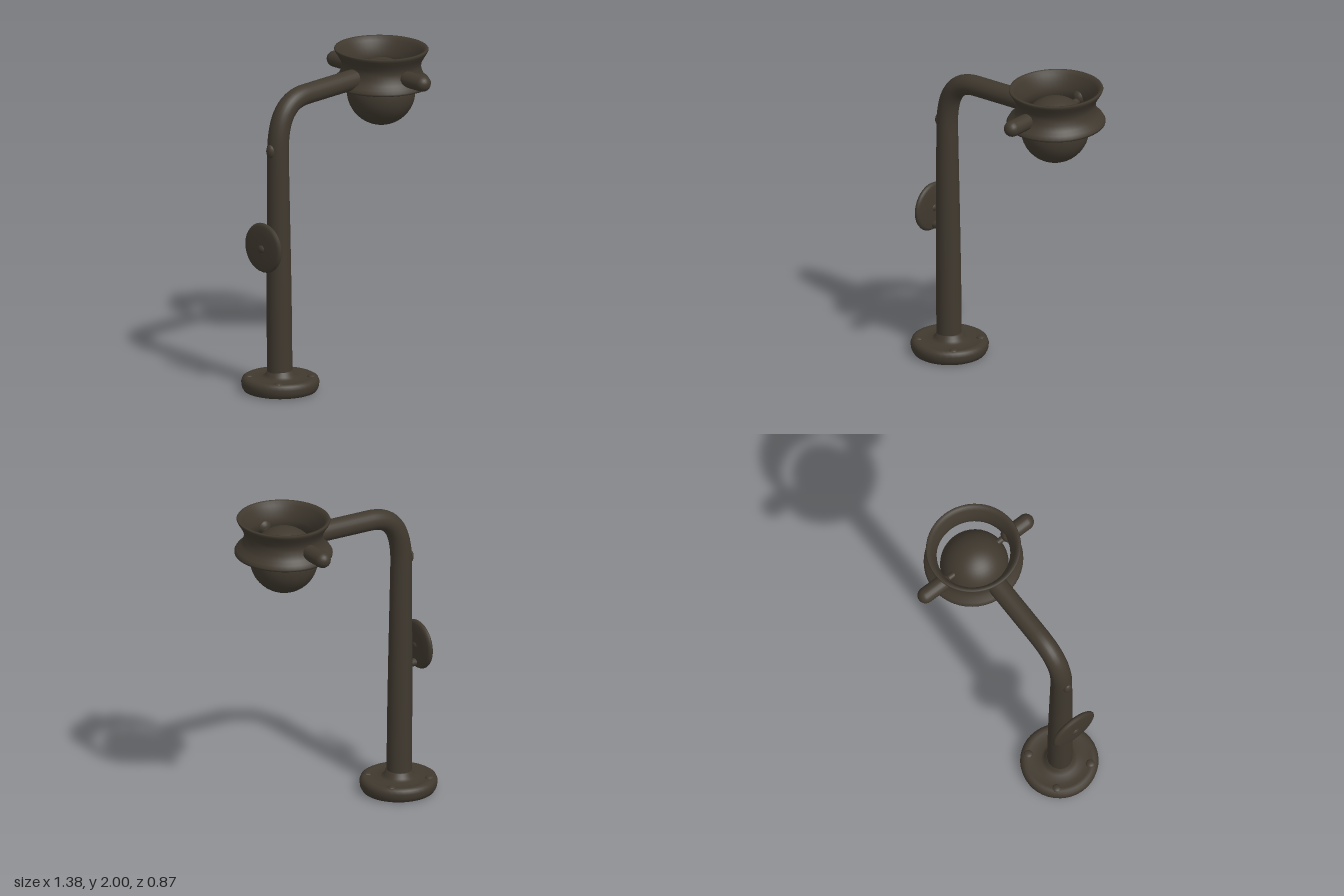
import * as THREE from 'three';

const darkBronze = new THREE.MeshStandardMaterial({ color: 0x40392f });
const darkBronzeOpen = darkBronze;

const pts = (list) => list.map(([x, y]) => new THREE.Vector2(x, y));

// Smooth lathe from a closed or capped profile, listed bottom to top on the outside
const lathe = (list, segments = 40) => new THREE.LatheGeometry(pts(list), segments);

export function createModel() {
  const model = new THREE.Group();
  const add = (name, geometry, x = 0, y = 0, z = 0, parent = model) => {
    const mesh = new THREE.Mesh(geometry, darkBronzeOpen);
    mesh.name = name;
    mesh.position.set(x, y, z);
    parent.add(mesh);
    return mesh;
  };

  // Round foot with a soft edge and a flared collar for the pole
  const baseX = -0.455;
  add('base', lathe([
    [0, 0.005], [0.2, 0.005], [0.222, 0.012], [0.234, 0.035], [0.238, 0.065],
    [0.23, 0.088], [0.212, 0.098], [0.19, 0.097], [0.16, 0.091], [0.11, 0.095],
    [0.09, 0.108], [0.08, 0.135], [0.07, 0.14], [0, 0.14],
  ]), baseX, 0, 0);

  // Low bolts around the foot
  for (const sx of [-1, 1]) for (const sz of [-1, 1]) {
    const bolt = add('baseBolt', new THREE.SphereGeometry(0.028, 12, 8), baseX + sx * 0.14, 0.092, sz * 0.13);
    bolt.scale.y = 0.5;
  }

  // Pole that bends over into the arm and narrows along its length
  const path = new THREE.CurvePath();
  const v = (x, y) => new THREE.Vector3(x, y, 0);
  path.add(new THREE.LineCurve3(v(-0.459, 0.06), v(-0.475, 1.5)));
  path.add(new THREE.CubicBezierCurve3(v(-0.475, 1.5), v(-0.475, 1.71), v(-0.41, 1.825), v(-0.24, 1.83)));
  path.add(new THREE.LineCurve3(v(-0.24, 1.83), v(0.165, 1.845)));
  const pole = new THREE.TubeGeometry(path, 80, 1, 24, false);
  const p = pole.attributes.position, n = pole.attributes.normal, uv = pole.attributes.uv;
  for (let i = 0; i < p.count; i++) {
    const r = 0.077 - 0.014 * THREE.MathUtils.smoothstep(uv.getX(i), 0.1, 0.85);
    p.setXYZ(i,
      p.getX(i) + n.getX(i) * (r - 1),
      p.getY(i) + n.getY(i) * (r - 1),
      p.getZ(i) + n.getZ(i) * (r - 1));
  }
  add('poleAndArm', pole);

  // Small knob high on the back of the pole
  const knob = add('poleKnob', new THREE.SphereGeometry(0.03, 14, 10), -0.537, 1.525, 0);
  knob.scale.set(0.75, 1.4, 1);

  // Round plate behind the pole, with its hub and bracket
  const plate = add('backPlate', lathe([
    [0, -0.022], [0.08, -0.021], [0.135, -0.018], [0.15, -0.01], [0.155, 0],
    [0.15, 0.01], [0.135, 0.018], [0.08, 0.021], [0, 0.022],
  ], 32), -0.595, 0.93, 0);
  plate.rotation.z = Math.PI / 2;
  const hub = add('plateHub', new THREE.SphereGeometry(0.032, 14, 10), -0.597, 0.925, 0);
  hub.scale.set(1, 1, 1.1);
  const bracket = add('plateBracket', new THREE.CapsuleGeometry(0.024, 0.05, 5, 12), -0.555, 0.815, 0);
  bracket.rotation.z = Math.PI / 2;

  // Waisted ring, open above and below
  const lamp = new THREE.Group();
  lamp.name = 'lampHead';
  lamp.position.set(0.392, 0, 0);
  model.add(lamp);
  const ring = add('ring', lathe([
    [0.27, 1.772], [0.294, 1.772], [0.295, 1.785], [0.283, 1.805], [0.258, 1.825],
    [0.243, 1.855], [0.236, 1.89], [0.242, 1.92], [0.26, 1.953], [0.276, 1.978],
    [0.282, 1.993], [0.278, 2], [0.262, 1.998], [0.247, 1.975], [0.23, 1.935],
    [0.218, 1.89], [0.22, 1.855], [0.235, 1.82], [0.27, 1.772],
  ], 48), 0, 0, 0, lamp);
  ring.scale.z = 1.04;

  // Globe hanging in the ring
  const globe = add('globe', new THREE.SphereGeometry(0.206, 36, 24), -0.005, 1.728, 0.003, lamp);
  globe.scale.z = 1.02;

  // Round-ended pegs on both sides, with thin pins reaching the globe
  for (const side of [-1, 1]) {
    const peg = add('sidePeg', new THREE.CapsuleGeometry(0.05, 0.13, 6, 20), -0.022, 1.855, side * 0.32, lamp);
    peg.rotation.x = Math.PI / 2;
    const pin = add('globePin', new THREE.CylinderGeometry(0.02, 0.02, 0.09, 12), -0.015, 1.835, side * 0.205, lamp);
    pin.rotation.x = Math.PI / 2;
  }
  return model;
}
